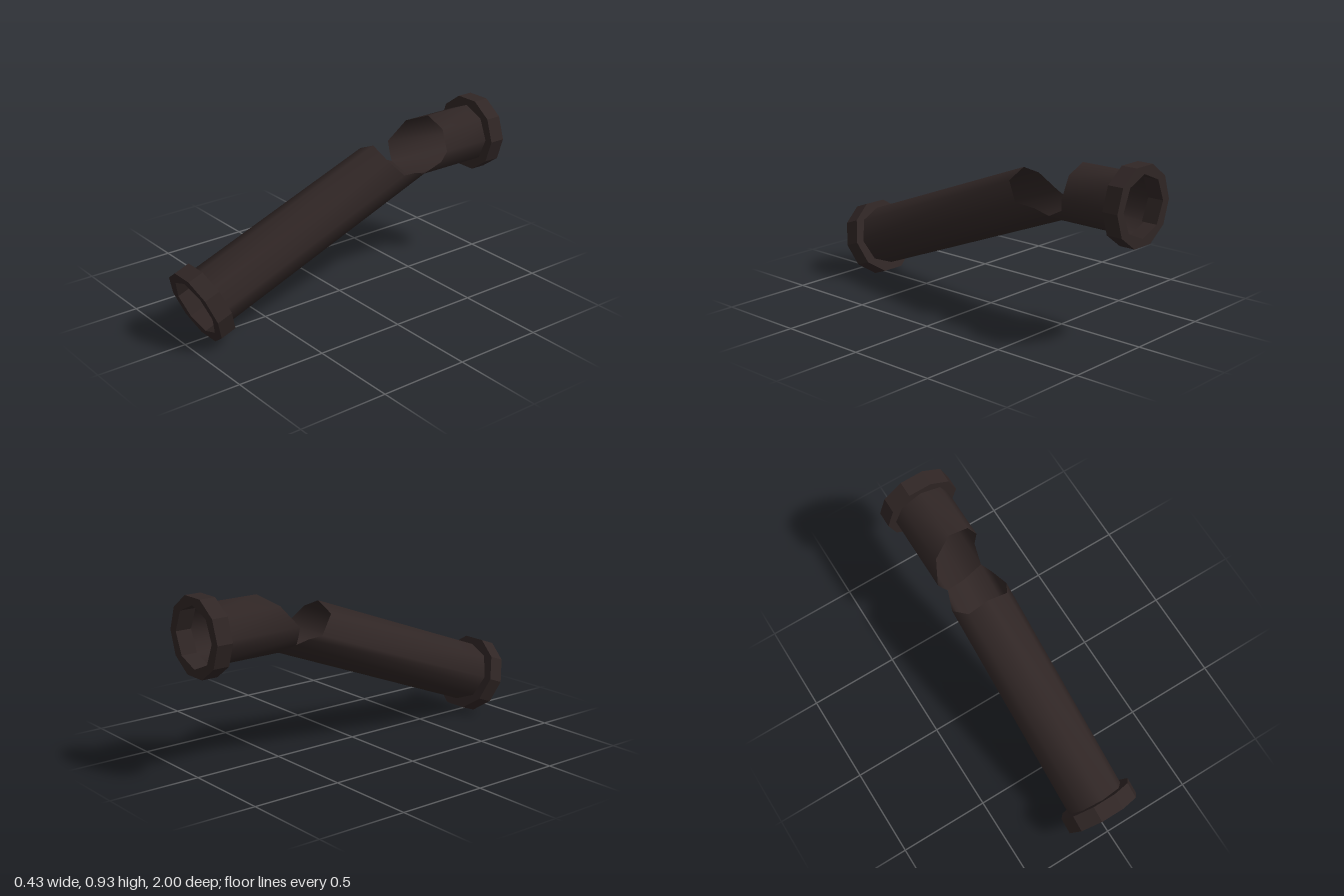
import * as THREE from 'three';

const TILT = 0.356;      // slope of the long pipe
const PIPE_R = 0.165;
const FLANGE_R = 0.213;
const FLANGE_DEPTH = 0.09;

const darkIron = new THREE.MeshStandardMaterial({ color: 0x302625, side: THREE.DoubleSide });
darkIron.name = 'darkIron';

// Pipe section: an octagon, clockwise from the top, with an extra point on each lower side face
const H = PIPE_R * Math.SQRT1_2;
const half = [[H, H], [PIPE_R, 0], [0.142, -0.055], [H, -H]];
const section = [
  [0, PIPE_R], ...half, [0, -PIPE_R],
  ...half.slice().reverse().map(([x, y]) => [-x, y]),
];

// Section placed at a centre and tilted about x
function ring(y, z, tilt) {
  const euler = new THREE.Euler(tilt, 0, 0);
  return section.map(([px, py]) =>
    new THREE.Vector3(px, py, 0).applyEuler(euler).add(new THREE.Vector3(0, y, z)).toArray());
}

// Thin open skin between a front ring and a back ring
function pipe(name, front, back) {
  const n = front.length;
  const index = [];
  for (let i = 0; i < n; i++) {
    const j = (i + 1) % n;
    index.push(i, j, n + i, j, n + j, n + i);
  }
  const geo = new THREE.BufferGeometry();
  geo.setAttribute('position', new THREE.Float32BufferAttribute([...front, ...back].flat(), 3));
  geo.setIndex(index);
  geo.computeVertexNormals();
  const mesh = new THREE.Mesh(geo, darkIron);
  mesh.name = name;
  return mesh;
}

// Ten-sided collar with an eight-sided bore, its outer face at local z = 0
function flange(name) {
  const polygon = (n, r, start) => Array.from({ length: n }, (_, i) => {
    const a = start + (i / n) * Math.PI * 2;
    return new THREE.Vector2(r * Math.cos(a), r * Math.sin(a));
  });
  const shape = new THREE.Shape(polygon(10, FLANGE_R, 0));
  shape.holes.push(new THREE.Path(polygon(8, PIPE_R - 0.002, Math.PI / 2)));
  const geo = new THREE.ExtrudeGeometry(shape, { depth: FLANGE_DEPTH, bevelEnabled: false });
  geo.translate(0, 0, -FLANGE_DEPTH);
  const mesh = new THREE.Mesh(geo, darkIron);
  mesh.name = name;
  return mesh;
}

export function createModel() {
  const model = new THREE.Group();
  model.name = 'brokenPipe';

  // Strip of wall still joining both pipes under the break
  const hinge = [[H, 0.614, -0.5], [0, 0.566, -0.49], [-H, 0.627, -0.46]];

  // Torn edge of the long pipe
  const longEdge = [
    [0, 0.806, -0.23], [H, 0.756, -0.232], [PIPE_R, 0.663, -0.315], [0.138, 0.645, -0.42],
    ...hinge,
    [-0.14, 0.65, -0.4], [-PIPE_R, 0.664, -0.33], [-H, 0.756, -0.235],
  ];

  // Torn edge of the short pipe
  const shortEdge = [
    [0, 0.894, -0.62], [H, 0.846, -0.625], [PIPE_R, 0.73, -0.62], [0.14, 0.665, -0.602],
    ...hinge,
    [-0.14, 0.67, -0.465], [-PIPE_R, 0.73, -0.472], [-H, 0.846, -0.56],
  ];

  model.add(pipe('longPipe', ring(0.192, 0.93, TILT), longEdge));
  model.add(pipe('shortPipe', shortEdge, ring(0.73, -1, 0)));

  const frontFlange = flange('frontFlange');
  frontFlange.position.set(0, 0.192, 0.93);
  frontFlange.rotation.x = TILT;

  const backFlange = flange('backFlange');
  backFlange.position.set(0, 0.73, -1 + FLANGE_DEPTH);

  model.add(frontFlange, backFlange);
  return model;
}
